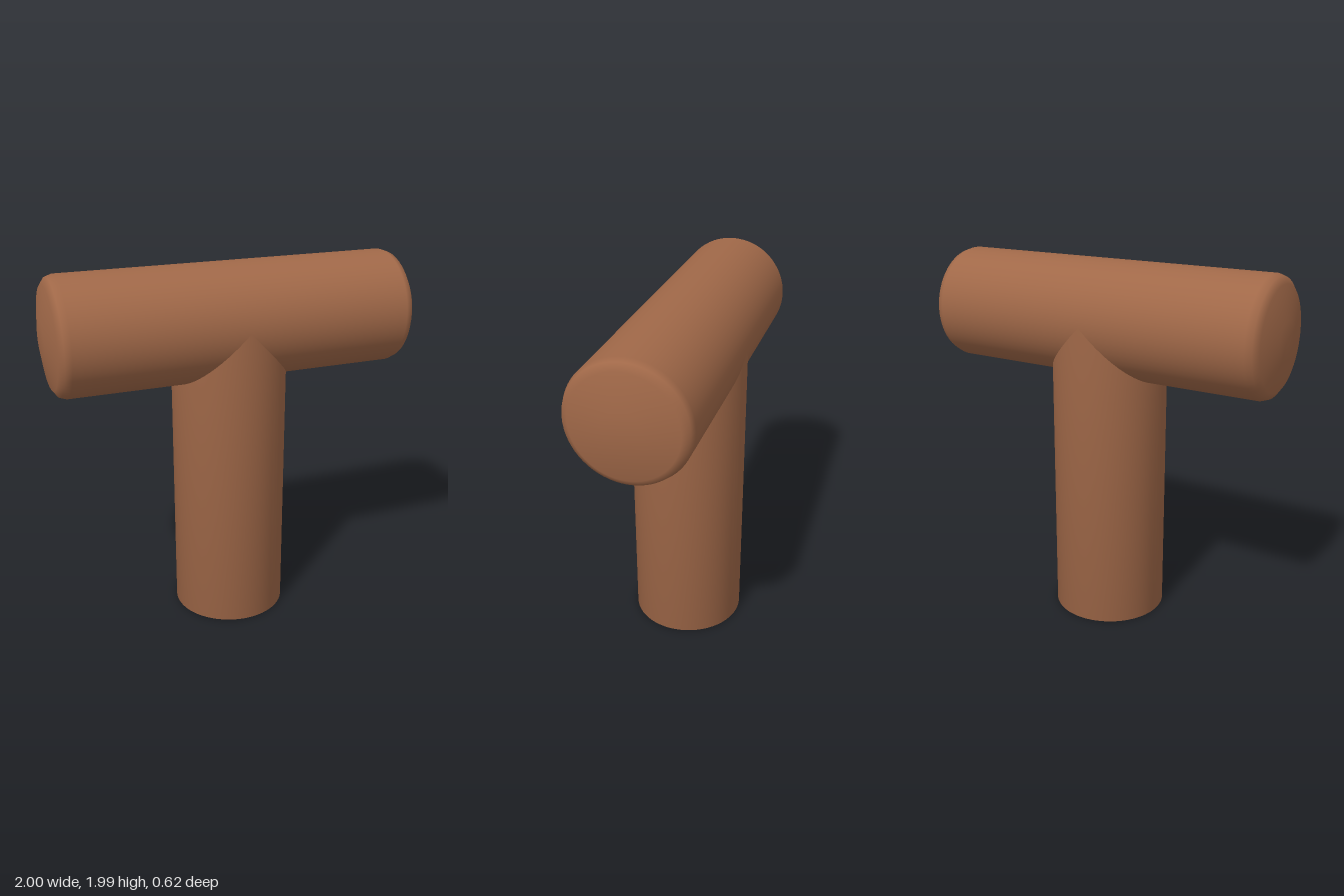
import * as THREE from 'three';

const RADIUS = 0.312;
const BAR_HEIGHT = 1.682;

// Smooth solid of revolution from [radius, height] pairs, listed bottom to top
function turned(name, pairs, material) {
  const points = pairs.map(([r, y]) => new THREE.Vector2(r, y));
  const mesh = new THREE.Mesh(new THREE.LatheGeometry(points, 64), material);
  mesh.name = name;
  return mesh;
}

export function createModel() {
  const group = new THREE.Group();
  group.name = 'teePost';
  const brown = new THREE.MeshStandardMaterial({ color: 0xa06848 });
  brown.name = 'warm brown';

  // Upright, closed below and ending inside the crossbar
  group.add(turned('upright', [[0, 0], [RADIUS, 0], [RADIUS, BAR_HEIGHT]], brown));

  // Crossbar with softly rounded, slightly domed ends
  const end = [[RADIUS, 0.91], [0.3, 0.945], [0.265, 0.97], [0.095, 1], [0, 1]];
  const mirrored = end.map(([r, y]) => [r, -y]).reverse();
  const bar = turned('crossbar', [...mirrored, ...end], brown);
  bar.rotation.z = -Math.PI / 2;
  bar.position.y = BAR_HEIGHT;
  group.add(bar);

  return group;
}
